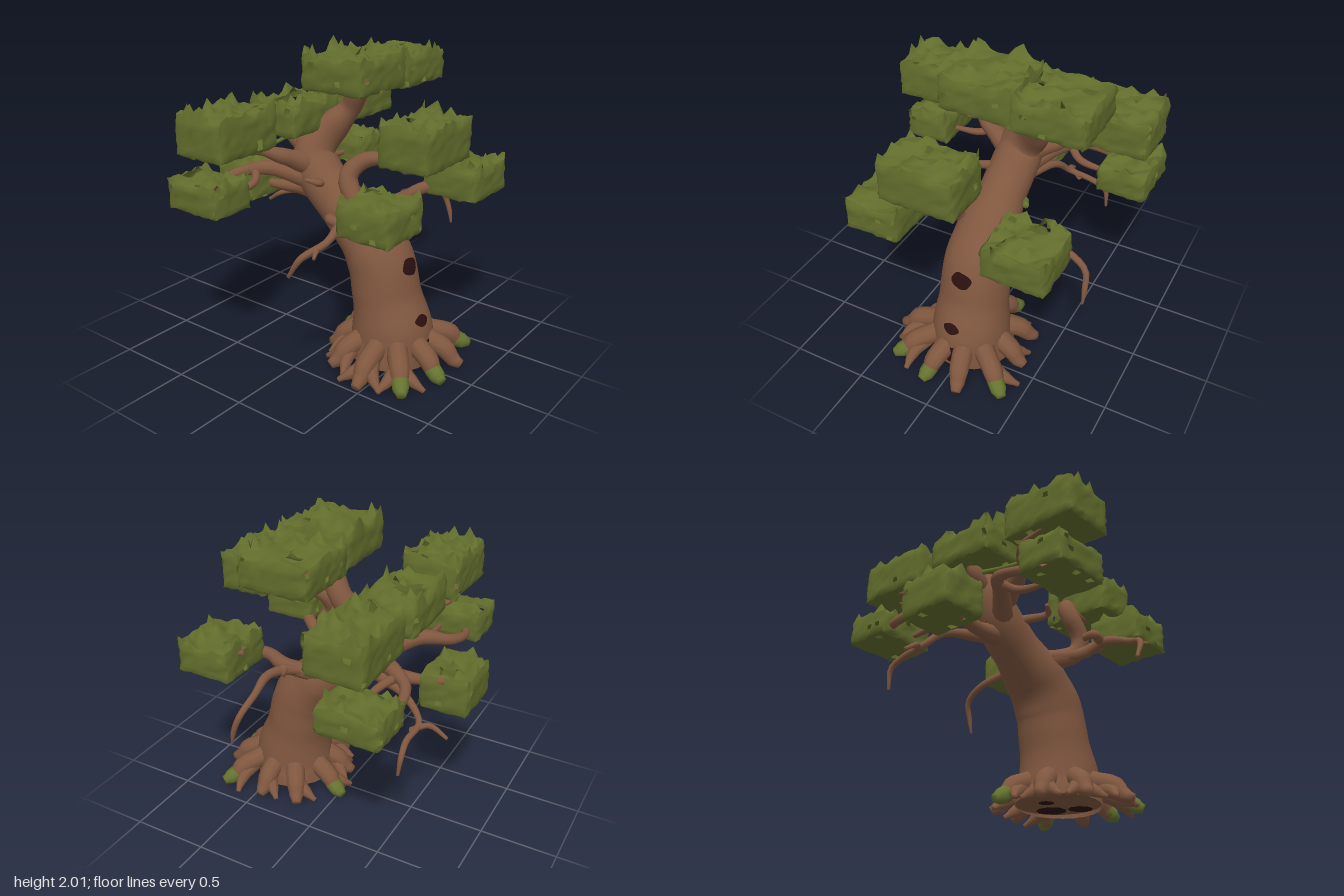
import * as THREE from 'three';

const bark = new THREE.MeshStandardMaterial({ name: 'bark', color: 0x80573f, side: THREE.DoubleSide });
const leaf = new THREE.MeshStandardMaterial({ name: 'leaf', color: 0x626d2c, side: THREE.DoubleSide });
const moss = new THREE.MeshStandardMaterial({ name: 'moss', color: 0x66732f, side: THREE.DoubleSide });
const hollow = new THREE.MeshStandardMaterial({ name: 'hollow', color: 0x2c1010, side: THREE.DoubleSide });

// Repeatable noise from a position, 0 to 1
function hash(x, y, z, k = 0) {
  const s = Math.sin(Math.round(x * 1000) * 12.9898 + Math.round(y * 1000) * 78.233 + Math.round(z * 1000) * 37.719 + k * 17.3) * 43758.5453;
  return s - Math.floor(s);
}

function add(parent, name, geo, mat) {
  const m = new THREE.Mesh(geo, mat);
  m.name = name;
  parent.add(m);
  return m;
}

// Tapered limb through points [x, y, z, radius, optional second radius]
function limb(pts, steps = 24, sides = 10) {
  const path = new THREE.CatmullRomCurve3(pts.map(p => new THREE.Vector3(p[0], p[1], p[2])));
  const frames = path.computeFrenetFrames(steps);
  const pos = [], idx = [];
  for (let i = 0; i <= steps + 1; i++) {
    const k = Math.min(i, steps);
    const u = k / steps;
    const c = path.getPointAt(u);
    const f = path.getUtoTmapping(u) * (pts.length - 1);
    const a = Math.min(Math.floor(f), pts.length - 2), w = THREE.MathUtils.smoothstep(f - a, 0, 1);
    const closed = i > steps ? 0 : 1;
    const r = closed * THREE.MathUtils.lerp(pts[a][3], pts[a + 1][3], w);
    const rx = closed * THREE.MathUtils.lerp(pts[a][4] ?? pts[a][3], pts[a + 1][4] ?? pts[a + 1][3], w);
    for (let j = 0; j < sides; j++) {
      const t = j / sides * Math.PI * 2;
      const p = c.clone().addScaledVector(frames.normals[k], Math.cos(t) * rx)
        .addScaledVector(frames.binormals[k], Math.sin(t) * r);
      pos.push(p.x, p.y, p.z);
      if (i <= steps) {
        const n = i * sides + (j + 1) % sides, m = i * sides + j;
        idx.push(m, n, m + sides, n, n + sides, m + sides);
      }
    }
  }
  const g = new THREE.BufferGeometry();
  g.setAttribute('position', new THREE.Float32BufferAttribute(pos, 3));
  g.setIndex(idx);
  g.computeVertexNormals();
  return g;
}

// Ragged block of leaves with a tufted top; gaps are [x, z, radius] cut in its top
function foliage(x0, x1, y0, y1, z0, z1, gaps = []) {
  const s = [x1 - x0, y1 - y0, z1 - z0];
  const n = s.map(v => Math.ceil(v / 0.042));
  const g = new THREE.BoxGeometry(...s, ...n);
  g.translate((x0 + x1) / 2, (y0 + y1) / 2, (z0 + z1) / 2);
  const p = g.attributes.position;
  const cx = (x0 + x1) / 2, cz = (z0 + z1) / 2, e = 0.001;
  const src = Array.from(g.index.array), kept = [];
  for (let i = 0; i < src.length; i += 6) {
    const a = src[i], b = src[i + 4];
    const x = (p.getX(a) + p.getX(b)) / 2, y = (p.getY(a) + p.getY(b)) / 2, z = (p.getZ(a) + p.getZ(b)) / 2;
    const cut = y > y1 - e && gaps.some(q => Math.hypot(x - q[0], z - q[1]) < q[2]);
    if (!cut && hash(x, y, z, 5) > 0.018) kept.push(...src.slice(i, i + 6));
  }
  for (let i = 0; i < p.count; i++) {
    let x = p.getX(i), y = p.getY(i), z = p.getZ(i);
    const h = hash(x, y, z), h2 = hash(x, y, z, 1), h3 = hash(x, y, z, 2);
    const onX = Math.abs(x - cx) > s[0] / 2 - e, onZ = Math.abs(z - cz) > s[2] / 2 - e;
    const top = y > y1 - e, bottom = y < y0 + e;
    const inset = (onX && onZ) || ((onX || onZ) && (top || bottom)) ? 0.018 : 0.004;
    const wave = 0.012 * Math.sin(x * 19 + z * 13 + y1 * 7);
    const ny = top ? y1 - 0.065 + wave + Math.pow(h, 7) * 0.075 : bottom ? y0 + 0.008 + h * 0.012
      : y0 + (y - y0) * (s[1] - 0.06) / s[1];
    x += (h2 - 0.5) * 0.014 - (onX ? Math.sign(x - cx) * inset : 0);
    z += (h3 - 0.5) * 0.014 - (onZ ? Math.sign(z - cz) * inset : 0);
    p.setXYZ(i, x, ny, z);
  }
  g.clearGroups();
  g.setIndex(kept);
  g.computeVertexNormals();
  return g;
}

// Dark opening laid over the front of the trunk
function opening(trunk, x, y, w, h, seed) {
  const g = new THREE.RingGeometry(0.001, 1, 24, 5);
  const p = g.attributes.position, ray = new THREE.Raycaster();
  for (let i = 0; i < p.count; i++) {
    const k = 1 + 0.05 * Math.sin(Math.atan2(p.getY(i), p.getX(i)) * 4 + seed);
    const px = x + p.getX(i) * w * k, py = y + p.getY(i) * h * k;
    ray.set(new THREE.Vector3(px, py, 3), new THREE.Vector3(0, 0, -1));
    const hit = ray.intersectObject(trunk)[0];
    p.setXYZ(i, px, py, (hit ? hit.point.z : 0.6) + 0.006);
  }
  g.computeVertexNormals();
  return g;
}

export function createModel() {
  const tree = new THREE.Group();
  tree.name = 'tree';

  // Leaning trunk
  const trunk = add(tree, 'trunk', limb([
    [0, 0.05, 0.4, 0.27, 0.28], [0, 0.2, 0.41, 0.265, 0.255], [0, 0.45, 0.36, 0.215, 0.23], [0, 0.66, 0.31, 0.21, 0.22],
    [0, 0.83, 0.18, 0.175, 0.205], [0, 1.0, -0.04, 0.155, 0.155], [0.01, 1.13, -0.18, 0.15, 0.155],
    [0.04, 1.27, -0.25, 0.12, 0.15], [0.13, 1.4, -0.19, 0.09, 0.12], [0.2, 1.55, -0.08, 0.07], [0.18, 1.7, 0, 0.07], [0.25, 1.84, 0.05, 0.055],
  ], 60, 24), bark);
  [[0, 0.67, 0.07, 0.053, 0], [-0.02, 0.34, 0.056, 0.034, 2], [0, 0.14, 0.085, 0.075, 4], [0.19, 0.13, 0.025, 0.05, 1], [-0.19, 0.12, 0.025, 0.05, 3]]
    .forEach((o, i) => add(tree, 'trunkHollow' + (i + 1), opening(trunk, ...o), hollow));
  const topHollow = add(tree, 'topHollow', new THREE.CircleGeometry(0.05, 12).rotateX(-Math.PI / 2), hollow);
  topHollow.position.set(0.26, 1.875, 0.06);

  // Underside with rotted patches
  add(tree, 'underside', new THREE.CircleGeometry(0.27, 24).rotateX(Math.PI / 2), bark).position.set(0, 0.06, 0.4);
  [[0.12, 0.48, 0.1], [-0.05, 0.56, 0.08], [0.02, 0.3, 0.05]].forEach(([x, z, r], i) =>
    add(tree, 'undersideHollow' + (i + 1), new THREE.CircleGeometry(r, 9).rotateX(Math.PI / 2), hollow).position.set(x, 0.054, z));

  // Roots: angle from the front, reach, mossy tip
  [[-0.27, 0.46, 1], [0.28, 0.47, 0], [-0.88, 0.52, 1], [0.88, 0.52, 1], [-1.45, 0.52, 0], [1.5, 0.43, 0],
    [-2.1, 0.46, 0], [2.15, 0.46, 0], [-2.8, 0.44, 0], [2.85, 0.49, 1]].forEach(([a, len, mossy], i) => {
    const at = (d, y, r, turn = 0) => [Math.sin(a + turn) * d, y, 0.42 + Math.cos(a + turn) * d, r];
    add(tree, 'root' + (i + 1), limb([at(0.14, 0.24, 0.05), at(0.25, 0.17, 0.068), at(len * 0.72, 0.13, 0.064),
      at(len * 0.84, 0.065, 0.05), at(len - 0.02, 0.035, 0.03)], 14), bark);
    if (i > 1) for (const s of i % 2 ? [1] : [-1, 1]) {
      add(tree, 'rootToe' + (i + 1), limb([at(0.28, 0.13, 0.05), at(len * 0.78, 0.075, 0.04, s * 0.16),
        at(len * 0.93, 0.025, 0.016, s * 0.3)], 8, 8), bark);
    }
    if (mossy) add(tree, 'rootMoss' + (i + 1), limb([at(len * 0.8, 0.085, 0.054), at(len * 0.9, 0.055, 0.052),
      at(len, 0.035, 0.03)], 8), moss);
  });

  // Branches
  const branches = {
    frontUpperBranch: [[-0.08, 0.9, 0.1, 0.07], [-0.25, 1.0, 0.3, 0.06], [-0.27, 1.1, 0.31, 0.06], [-0.24, 1.26, 0.23, 0.062],
      [-0.18, 1.355, 0.3, 0.05], [-0.12, 1.385, 0.48, 0.03], [-0.1, 1.41, 0.66, 0.02]],
    frontRightBranch: [[-0.1, 0.92, 0.12, 0.06], [-0.22, 1.0, 0.32, 0.05], [-0.28, 1.07, 0.44, 0.04], [-0.45, 1.1, 0.6, 0.025]],
    frontLeftBranch: [[0.1, 0.92, 0.12, 0.06], [0.23, 1.0, 0.32, 0.05], [0.27, 1.08, 0.42, 0.04], [0.45, 1.12, 0.6, 0.025]],
    rightTwig: [[-0.1, 0.93, 0.1, 0.05], [-0.3, 0.98, 0.3, 0.04], [-0.45, 1.03, 0.33, 0.03], [-0.62, 0.99, 0.36, 0.022],
      [-0.74, 0.92, 0.28, 0.02], [-0.76, 0.79, 0.2, 0.012]],
    rightTwigFork: [[-0.68, 0.96, 0.34, 0.018], [-0.74, 0.94, 0.37, 0.01]],
    rightTwigKnot: [[-0.42, 1.03, 0.34, 0.035], [-0.43, 1.05, 0.24, 0.03], [-0.36, 1.04, 0.22, 0.025]],
    leftTwig: [[0.1, 0.93, 0.1, 0.05], [0.22, 0.98, 0.25, 0.035], [0.42, 1.02, 0.32, 0.03], [0.6, 0.98, 0.3, 0.022],
      [0.73, 0.9, 0.32, 0.02], [0.75, 0.79, 0.36, 0.018], [0.75, 0.69, 0.38, 0.008]],
    leftTwigKnot: [[0.28, 1.02, 0.28, 0.03], [0.32, 0.99, 0.3, 0.04]],
    backBranch: [[0, 1.02, -0.15, 0.08], [0, 1.0, -0.38, 0.045], [-0.04, 1.0, -0.58, 0.03], [-0.05, 1.03, -0.72, 0.02]],
    hangingTwig: [[0.05, 1.0, -0.25, 0.04], [0.16, 0.97, -0.5, 0.025], [0.22, 0.86, -0.62, 0.02], [0.4, 0.83, -0.62, 0.02],
      [0.48, 0.78, -0.63, 0.018], [0.5, 0.65, -0.62, 0.01]],
    hangingTwigFork: [[0.3, 0.84, -0.6, 0.02], [0.2, 0.84, -0.68, 0.018], [0.18, 0.77, -0.79, 0.012]],
    crownBranch: [[0.17, 1.63, -0.03, 0.04], [0.3, 1.68, 0.06, 0.03], [0.5, 1.73, 0.12, 0.02]],
    backMiddleBranch: [[0.03, 1.25, -0.25, 0.06], [0, 1.36, -0.4, 0.05], [0.05, 1.5, -0.42, 0.03]],
    rightStub: [[-0.12, 1.12, -0.1, 0.03], [-0.24, 1.17, 0.01, 0.022], [-0.29, 1.19, -0.06, 0.012]],
  };
  for (const s of [-1, 1]) {
    const side = s < 0 ? 'Right' : 'Left';
    branches['backUpper' + side] = [[s * 0.05, 1.2, -0.22, 0.08], [s * 0.22, 1.28, -0.28, 0.055],
      [s * 0.38, 1.34, -0.36, 0.026], [s * 0.62, 1.36, -0.4, 0.018], [s * 0.72, 1.42, -0.4, 0.012]];
    branches['backLower' + side] = [[s * 0.05, 1.1, -0.2, 0.07], [s * 0.22, 1.18, -0.42, 0.05],
      [s * 0.33, 1.15, -0.57, 0.035], [s * 0.52, 1.11, -0.6, 0.028], [s * 0.7, 1.12, -0.48, 0.02]];
    branches['backSprig' + side] = [[s * 0.26, 1.17, -0.5, 0.03], [s * 0.36, 1.12, -0.42, 0.025], [s * 0.6, 1.1, -0.4, 0.015]];
    branches['upperSprig' + side] = [[s * 0.3, 1.33, -0.32, 0.025], [s * 0.45, 1.35, -0.5, 0.018], [s * 0.6, 1.4, -0.5, 0.01]];
  }
  for (const [name, pts] of Object.entries(branches)) add(tree, name, limb(pts), bark);

  // Mossy strands on the branches
  add(tree, 'upperMossStrand', limb([[-0.62, 1.38, -0.38, 0.016], [-0.42, 1.35, -0.34, 0.018], [-0.2, 1.36, -0.36, 0.012], [0, 1.37, -0.4, 0.016]]), moss);
  add(tree, 'sideMossTuft', limb([[0.15, 0.96, -0.05, 0.025], [0.19, 0.98, 0.02, 0.02]], 6), moss);

  // Leaf blocks: x, y and z ranges
  const pads = {
    crownRight: [-0.25, 0.24, 1.72, 2.0, -0.14, 0.33],
    crownLeft: [0.2, 0.68, 1.7, 1.97, -0.14, 0.33, [[0.26, 0.06, 0.045], [0.55, 0.02, 0.04]]],
    frontUpper: [-0.35, 0.16, 1.38, 1.7, 0.49, 0.84],
    frontLowerRight: [-0.64, -0.26, 1.04, 1.31, 0.42, 0.79, [[-0.35, 0.48, 0.05]]],
    frontLowerLeft: [0.27, 0.69, 1.04, 1.31, 0.42, 0.81, [[0.5, 0.5, 0.05]]],
    backUpperRight: [-0.87, -0.36, 1.38, 1.7, -0.58, -0.19],
    backUpperLeft: [0.34, 0.87, 1.38, 1.7, -0.58, -0.19],
    backUpperMiddle: [-0.24, 0.25, 1.39, 1.66, -0.58, -0.19, [[0, -0.45, 0.06], [-0.06, -0.44, 0.05], [0.07, -0.44, 0.05], [0, -0.36, 0.04]]],
    backLowerRight: [-0.87, -0.55, 1.03, 1.29, -0.68, -0.25, [[-0.7, -0.62, 0.05]]],
    backLowerLeft: [0.53, 0.87, 1.03, 1.27, -0.68, -0.25],
    backLowest: [-0.24, 0.15, 0.9, 1.2, -0.89, -0.56, [[0.08, -0.72, 0.04]]],
  };
  for (const [name, b] of Object.entries(pads)) add(tree, name + 'Foliage', foliage(...b), leaf);
  return tree;
}
